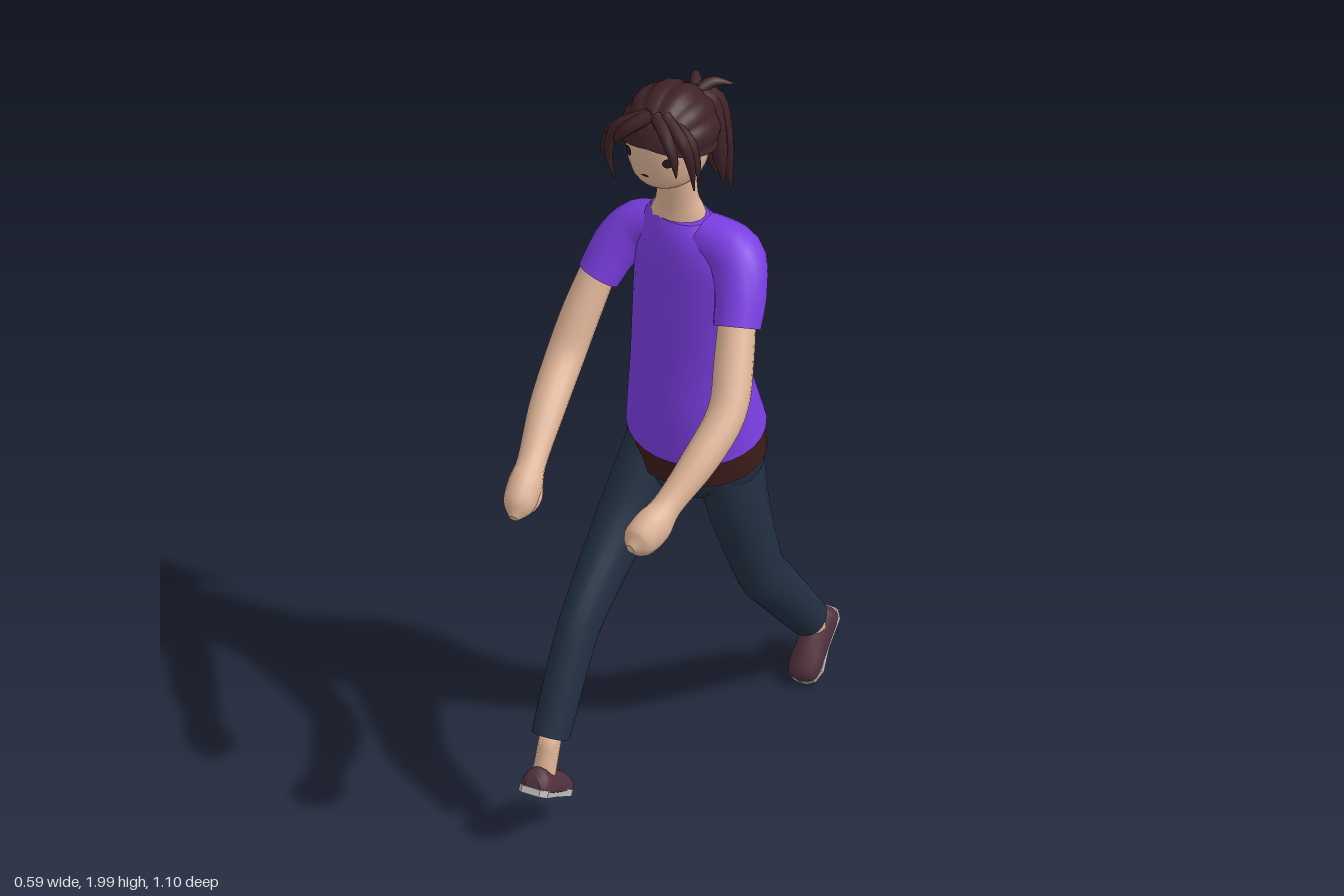
import * as THREE from 'three';

const material = (name, color, side = THREE.FrontSide) => {
  const m = new THREE.MeshStandardMaterial({ color, side });
  m.name = name;
  return m;
};
const V = (x, y, z) => new THREE.Vector3(x, y, z);

// Skin over a list of rings { c, u, v }: centre and two half axes, capped at both ends
function skinRings(rings, n) {
  const point = r => ({ c: r.c, u: V(0, 0, 0), v: V(0, 0, 0) });
  const first = rings[0], last = rings[rings.length - 1];
  const all = [point(first), first, ...rings, last, point(last)];
  const pos = [], idx = [];
  all.forEach((r, i) => {
    for (let j = 0; j < n; j++) {
      const a = (j / n) * Math.PI * 2;
      const p = r.c.clone().addScaledVector(r.u, Math.cos(a)).addScaledVector(r.v, Math.sin(a));
      pos.push(p.x, p.y, p.z);
      if (i === all.length - 1) continue;
      const A = i * n + j, B = i * n + ((j + 1) % n);
      idx.push(A, B, B + n, A, B + n, A + n);
    }
  });
  const g = new THREE.BufferGeometry();
  g.setAttribute('position', new THREE.Float32BufferAttribute(pos, 3));
  g.setIndex(idx);
  g.computeVertexNormals();
  return g;
}

const spline = pts => new THREE.CatmullRomCurve3(pts, false, 'catmullrom', 0.5);

// Tapered limb along a path; rows are [x, y, z, side radius, other radius]
function limb(rows, { ref = V(1, 0, 0), n = 16, steps = 4 } = {}) {
  const path = spline(rows.map(r => V(r[0], r[1], r[2])));
  const radii = spline(rows.map(r => V(r[3], r[4] ?? r[3], 0)));
  const count = (rows.length - 1) * steps, rings = [];
  for (let i = 0; i <= count; i++) {
    const c = path.getPoint(i / count), t = path.getTangent(i / count), r = radii.getPoint(i / count);
    const s = ref.clone().addScaledVector(t, -ref.dot(t)).normalize();
    const w = t.clone().cross(s);
    rings.push({ c, u: s.multiplyScalar(Math.max(r.x, 0.001)), v: w.multiplyScalar(Math.max(r.y, 0.001)) });
  }
  return skinRings(rings, n);
}

// Upright body; rows from bottom to top are [x, y, z, rx, rz, pitch, yaw]
function body(rows, steps = 4) {
  const path = spline(rows.map(r => V(r[0], r[1], r[2])));
  const radii = spline(rows.map(r => V(r[3], r[4], 0)));
  const turn = spline(rows.map(r => V(r[5] ?? 0, r[6] ?? 0, 0)));
  const count = (rows.length - 1) * steps, rings = [];
  for (let i = 0; i <= count; i++) {
    const t = i / count, r = radii.getPoint(t), a = turn.getPoint(t);
    const e = new THREE.Euler(a.x, a.y, 0, 'YXZ');
    rings.push({ c: path.getPoint(t), u: V(0, 0, r.y).applyEuler(e), v: V(r.x, 0, 0).applyEuler(e) });
  }
  return skinRings(rings, 28);
}

export function createModel() {
  const root = new THREE.Group();
  const skin = material('skin', 0xdcb296);
  const shirt = material('purple shirt', 0x7a3de0);
  const pants = material('navy trousers', 0x223042);
  const belt = material('brown belt', 0x3c1a1a);
  const hair = material('dark brown hair', 0x3e2226, THREE.DoubleSide);
  const shoe = material('maroon shoe', 0x50303a);
  const sole = material('grey sole', 0xbababa);
  const ink = material('dark eyes', 0x241a20, THREE.DoubleSide);
  const add = (name, geo, mat, parent = root) => {
    const m = new THREE.Mesh(geo, mat);
    m.name = name;
    parent.add(m);
    return m;
  };

  // Torso and sleeves
  add('shirtBody', body([
    [0.02, 0.99, -0.085, 0.182, 0.152, 0.27],
    [0.015, 1.1, -0.073, 0.166, 0.134, 0.15],
    [0.01, 1.2, -0.063, 0.152, 0.114, 0.05],
    [0.01, 1.35, -0.06, 0.15, 0.103, 0, -0.1],
    [0.01, 1.45, -0.066, 0.155, 0.098, 0, -0.18],
    [0.005, 1.53, -0.07, 0.158, 0.09, 0, -0.2],
    [0, 1.59, -0.07, 0.125, 0.074, 0, -0.2],
    [-0.015, 1.632, -0.068, 0.083, 0.052, 0.1, -0.15],
  ]), shirt);
  const sleeveRef = { ref: V(0, 0, 1) };
  add('leftSleeve', limb([[0.05, 1.59, -0.06, 0.058], [0.145, 1.56, -0.05, 0.072],
    [0.185, 1.5, -0.005, 0.067], [0.203, 1.42, 0.052, 0.06]], sleeveRef), shirt);
  add('rightSleeve', limb([[-0.05, 1.568, -0.08, 0.055], [-0.14, 1.525, -0.09, 0.068],
    [-0.188, 1.47, -0.055, 0.063], [-0.215, 1.4, -0.012, 0.056]], sleeveRef), shirt);

  // Arms with closed hands
  add('leftArm', limb([[0.19, 1.47, 0.02, 0.046], [0.222, 1.36, 0.105, 0.05], [0.246, 1.265, 0.19, 0.049],
    [0.228, 1.185, 0.3, 0.046], [0.195, 1.11, 0.41, 0.037], [0.18, 1.075, 0.465, 0.047, 0.055],
    [0.166, 1.055, 0.52, 0.042, 0.045], [0.16, 1.05, 0.55, 0.012]]), skin);
  add('rightArm', limb([[-0.21, 1.45, -0.045, 0.044], [-0.235, 1.32, 0.035, 0.049], [-0.247, 1.215, 0.11, 0.049],
    [-0.235, 1.14, 0.23, 0.046], [-0.215, 1.065, 0.35, 0.037], [-0.208, 1.03, 0.4, 0.043, 0.05],
    [-0.203, 0.995, 0.45, 0.038, 0.042], [-0.2, 0.977, 0.48, 0.012]]), skin);
  add('leftThumb', limb([[0.165, 1.06, 0.42, 0.015], [0.145, 1.025, 0.45, 0.022], [0.145, 1.005, 0.475, 0.012]]), skin);
  add('rightThumb', limb([[-0.195, 1.04, 0.37, 0.015], [-0.182, 1.0, 0.4, 0.02], [-0.182, 0.975, 0.43, 0.012]]), skin);

  // Belt, hips and legs
  add('belt', body([[0.02, 0.92, -0.088, 0.183, 0.149, 0.27], [0.02, 1.0, -0.085, 0.176, 0.146, 0.27]]), belt);
  add('hips', body([[0.01, 0.79, -0.06, 0.045, 0.05], [0.012, 0.82, -0.075, 0.12, 0.09],
    [0.018, 0.87, -0.088, 0.172, 0.126, 0.12], [0.02, 0.94, -0.088, 0.178, 0.144, 0.26]]), pants);
  add('leftLeg', limb([[0.105, 0.91, -0.09, 0.08, 0.115], [0.127, 0.74, -0.108, 0.072, 0.088],
    [0.15, 0.52, -0.172, 0.056, 0.072], [0.155, 0.42, -0.243, 0.053, 0.066],
    [0.156, 0.2, -0.425, 0.05, 0.053]], { n: 20 }), pants);
  add('rightLeg', limb([[-0.078, 0.89, -0.07, 0.08, 0.11], [-0.107, 0.735, 0.06, 0.069, 0.088],
    [-0.125, 0.565, 0.232, 0.053, 0.072], [-0.13, 0.47, 0.303, 0.05, 0.064],
    [-0.133, 0.285, 0.41, 0.048, 0.054]], { n: 20 }), pants);
  add('leftAnkle', limb([[0.155, 0.23, -0.405, 0.028], [0.155, 0.12, -0.485, 0.03]]), skin);
  add('rightAnkle', limb([[-0.132, 0.3, 0.405, 0.028], [-0.132, 0.16, 0.462, 0.03]]), skin);

  // Shoes: local +z is the toe, y = 0 the underside
  const upper = limb([[0, 0.015, -0.095, 0.022, 0.03], [0, 0.015, -0.075, 0.04, 0.055], [0, 0.015, 0, 0.041, 0.052],
    [0, 0.015, 0.06, 0.043, 0.04], [0, 0.015, 0.09, 0.034, 0.028], [0, 0.015, 0.102, 0.008, 0.008]]);
  const p = upper.attributes.position;
  for (let i = 0; i < p.count; i++) p.setY(i, Math.max(p.getY(i), 0.012));
  upper.computeVertexNormals();
  const outline = new THREE.Shape([[0.025, -0.1], [0.04, -0.08], [0.038, 0], [0.046, 0.06], [0.034, 0.092], [0.012, 0.104],
    [-0.012, 0.104], [-0.034, 0.092], [-0.046, 0.06], [-0.038, 0], [-0.04, -0.08], [-0.025, -0.1]]
    .map(q => new THREE.Vector2(q[0], -q[1])));
  const soleGeo = new THREE.ExtrudeGeometry(outline, { depth: 0.018, bevelEnabled: false });
  soleGeo.rotateX(-Math.PI / 2);
  const addShoe = (name, at, dir) => {
    const g = new THREE.Group();
    g.name = name;
    const side = V(Math.sign(dir.z), 0, 0);
    g.matrix.makeBasis(side, dir.clone().cross(side), dir).setPosition(at);
    g.matrix.decompose(g.position, g.quaternion, g.scale);
    add('shoeUpper', upper, shoe, g);
    add('shoeSole', soleGeo, sole, g);
    root.add(g);
  };
  addShoe('leftShoe', V(0.154, 0.08, -0.473), V(0, -0.687, 0.727).normalize());
  addShoe('rightShoe', V(-0.132, 0.128, 0.44), V(0, -0.51, -0.86).normalize());

  // Neck and head
  add('neck', limb([[-0.02, 1.6, -0.07, 0.085, 0.055], [-0.02, 1.645, -0.068, 0.068, 0.047],
    [-0.022, 1.69, -0.064, 0.054, 0.042], [-0.025, 1.79, -0.062, 0.052, 0.045]]), skin);
  add('head', body([[-0.045, 1.735, -0.055, 0.03, 0.04], [-0.045, 1.75, -0.058, 0.07, 0.08],
    [-0.045, 1.785, -0.06, 0.094, 0.103], [-0.045, 1.855, -0.062, 0.106, 0.115],
    [-0.045, 1.92, -0.064, 0.1, 0.11], [-0.045, 1.97, -0.066, 0.05, 0.06]]), skin);

  // Face plates, turned to lie on the face
  const plate = (name, x, y, w, h, tilt = 0) => {
    const a = Math.asin((x + 0.045) / 0.106);
    const m = add(name, new THREE.CircleGeometry(1, 14), ink);
    m.scale.set(w, h, 1);
    m.position.set(x, y, -0.062 + 0.115 * Math.cos(a) + 0.005);
    m.rotation.set(0, a, tilt, 'YXZ');
  };
  for (const s of [-1, 1]) {
    plate('eye', -0.05 + s * 0.056, 1.853, 0.014, 0.014);
    plate('eyebrow', -0.05 + s * 0.056, 1.884, 0.022, 0.005, -s * 0.15);
  }
  plate('mouth', -0.05, 1.808, 0.011, 0.003);

  // Ridged hair cap, combed from front to back
  const cap = new THREE.SphereGeometry(1, 60, 14, -0.12, Math.PI + 0.24);
  cap.rotateX(-Math.PI / 2);
  const q = cap.attributes.position;
  for (let i = 0; i < q.count; i++) {
    const x = q.getX(i), y = q.getY(i);
    const k = 0.95 + 0.06 * Math.abs(Math.sin(Math.atan2(y, x) * 6));
    q.setXYZ(i, x * k * 0.124, y * k * 0.136, q.getZ(i) * 0.131);
  }
  cap.rotateX(-0.24);
  cap.translate(-0.042, 1.863, -0.064);
  cap.computeVertexNormals();
  add('hairCap', cap, hair);

  // Loose locks around the face: four path points and a width
  const locks = [
    [[-0.06, 1.97, 0.02], [-0.13, 1.93, 0.05], [-0.158, 1.84, 0.045], [-0.15, 1.75, 0.03], 0.016],
    [[-0.08, 1.95, 0.01], [-0.145, 1.91, 0.03], [-0.17, 1.86, 0.035], [-0.183, 1.82, 0.035], 0.017],
    [[-0.05, 1.97, 0.02], [-0.09, 1.945, 0.055], [-0.12, 1.91, 0.062], [-0.135, 1.87, 0.05], 0.018],
    [[-0.04, 1.97, 0.02], [0.01, 1.945, 0.06], [0.04, 1.9, 0.078], [0.05, 1.85, 0.083], 0.016],
    [[-0.02, 1.97, 0.01], [0.045, 1.93, 0.04], [0.068, 1.87, 0.04], [0.07, 1.78, 0.025], 0.016],
    [[0, 1.95, 0], [0.055, 1.92, 0.02], [0.076, 1.87, 0.025], [0.086, 1.82, 0.03], 0.016],
  ];
  for (const [a, b, c, d, w] of locks)
    add('hairLock', limb([[...a, w], [...b, w], [...c, w * 0.75], [...d, 0.002]], { n: 8, ref: V(0, 0, 1) }), hair);

  // Ponytail of tapered strands with a small tied tuft
  for (let i = 0; i < 6; i++) {
    const s = (i % 3) - 1, back = i < 3 ? 0 : 1;
    add('ponytailStrand', limb([
      [-0.03, 1.93, -0.165, 0.02],
      [-0.012 + s * 0.018, 1.885, -0.192 - back * 0.022, 0.026],
      [0.01 + s * 0.024, 1.77, -0.18 - back * 0.034, 0.024],
      [0.03 + s * 0.02, 1.69 - back * 0.05 - s * 0.02, -0.175 - back * 0.042, 0.003],
    ], { n: 8 }), hair);
  }
  for (const s of [-1, 1])
    add('hairTuft', limb([[-0.025, 1.925, -0.17, 0.016], [-0.02 + s * 0.025, 1.94, -0.21, 0.014],
      [-0.01 + s * 0.055, 1.93, -0.235, 0.003]], { n: 8, ref: V(0, 1, 0) }), hair);

  return root;
}
